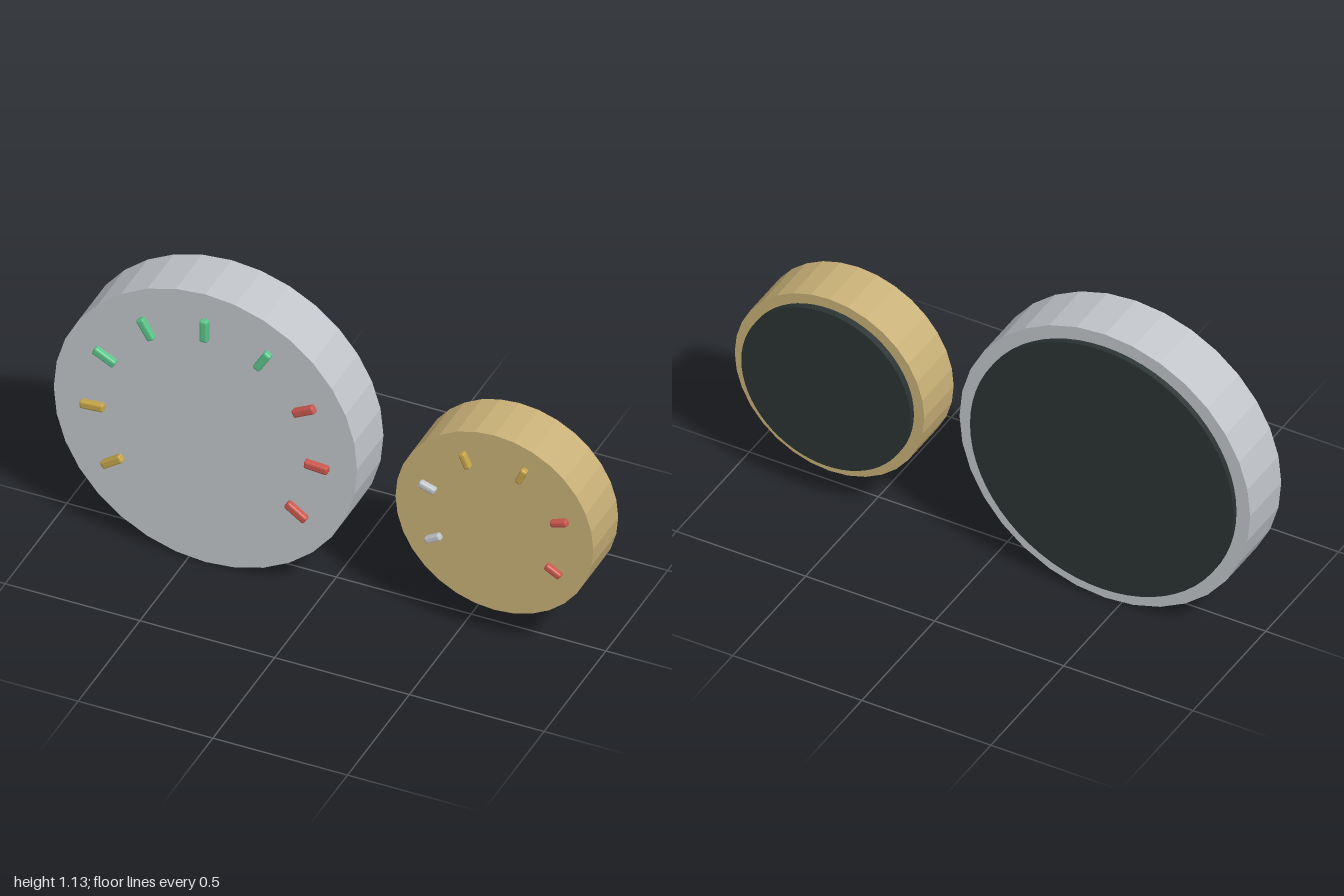
import * as THREE from 'three';
import { RoundedBoxGeometry } from 'three/addons/geometries/RoundedBoxGeometry.js';

const paint = (name, color, flat = true) => {
  const m = new THREE.MeshStandardMaterial({ color, flatShading: flat });
  m.name = name;
  return m;
};

export function createModel() {
  const silver = paint('silver', 0xc2c6cb);
  const gold = paint('gold', 0xc9b178);
  const rubber = paint('dark rubber', 0x2a3432);
  const green = paint('green', 0x5cc48a);
  const red = paint('red', 0xcb584f);
  const amber = paint('amber', 0xc4a549);

  const model = new THREE.Group();
  model.name = 'dials';

  // Disc whose flat faces look along z
  function disc(name, radius, back, front, sides, material) {
    const g = new THREE.CylinderGeometry(radius, radius, front - back, sides);
    g.rotateX(Math.PI / 2);
    const mesh = new THREE.Mesh(g, material);
    mesh.name = name;
    mesh.position.z = (front + back) / 2;
    return mesh;
  }

  // One dial: faceted body, round back pad and a sweep of raised ticks
  function dial(o) {
    const group = new THREE.Group();
    group.name = o.name;
    group.position.set(o.x, o.y, 0);
    group.add(disc('body', o.radius, o.back, o.front, 32, o.material));
    group.add(disc('backPad', o.padRadius, o.padBack, o.back + 0.01, 64, rubber));

    const [length, width] = o.tick;
    const depth = 0.05;
    const tickShape = new RoundedBoxGeometry(length, width, depth, 1, 0.007);
    o.ticks.forEach((material, i) => {
      // Ticks run clockwise from lower left to lower right
      const degrees = 90 + o.sweep / 2 - (i * o.sweep) / (o.ticks.length - 1);
      const a = THREE.MathUtils.degToRad(degrees);
      const tick = new THREE.Mesh(tickShape, material);
      tick.name = 'tick' + (i + 1);
      tick.position.set(Math.cos(a) * o.tickRadius, Math.sin(a) * o.tickRadius, o.tickFront - depth / 2);
      tick.rotation.z = a;
      group.add(tick);
    });
    model.add(group);
  }

  dial({
    name: 'largeDial', x: -0.437, y: 0.563, radius: 0.563, back: -0.106, front: 0.107,
    padRadius: 0.51, padBack: -0.128, material: silver,
    tick: [0.088, 0.03], tickRadius: 0.417, tickFront: 0.129, sweep: 250,
    ticks: [amber, amber, green, green, green, green, red, red, red],
  });

  dial({
    name: 'smallDial', x: 0.633, y: 0.495, radius: 0.367, back: -0.1, front: 0.102,
    padRadius: 0.327, padBack: -0.126, material: gold,
    tick: [0.064, 0.025], tickRadius: 0.257, tickFront: 0.123, sweep: 240,
    ticks: [silver, silver, amber, amber, red, red],
  });

  return model;
}
